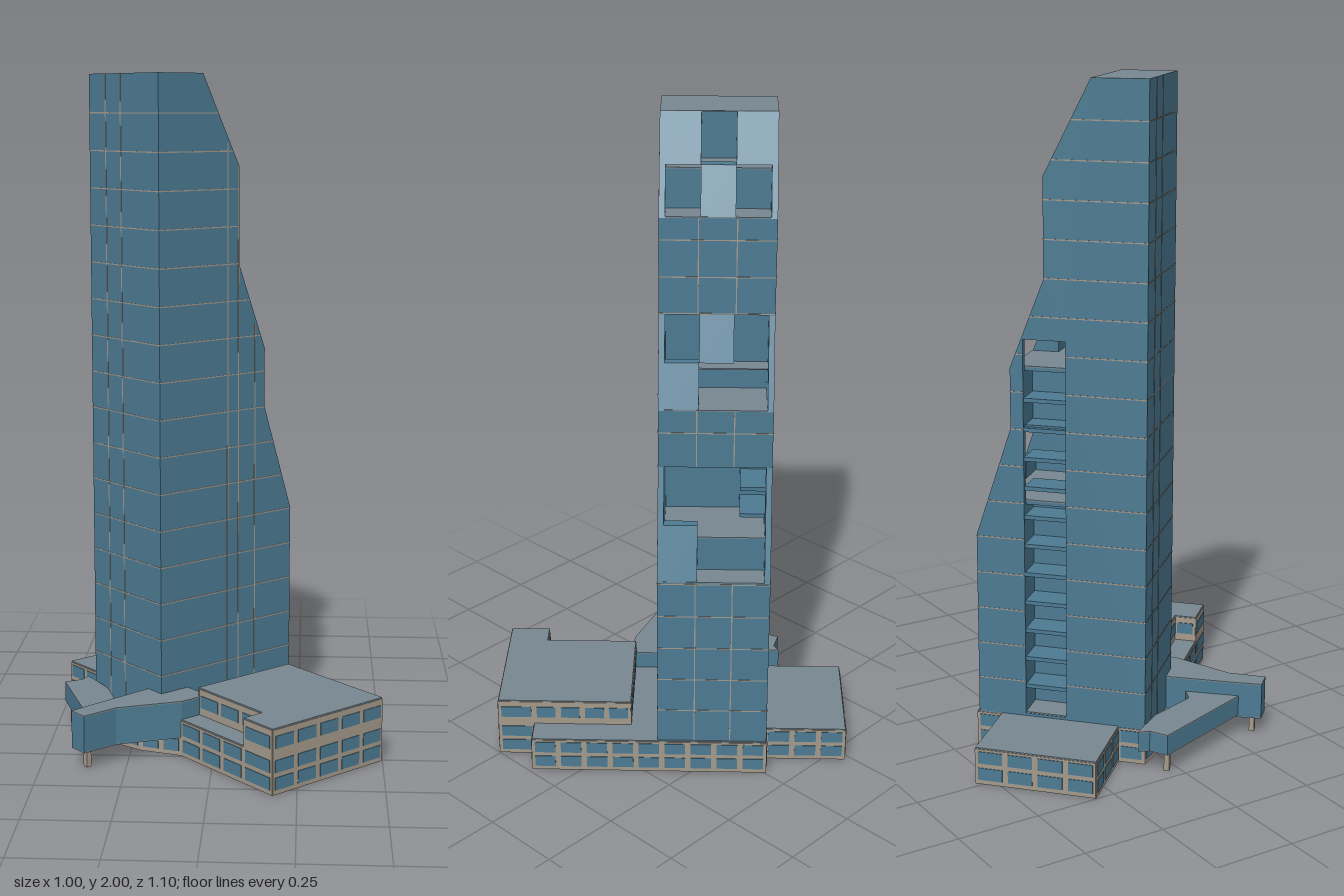
import * as THREE from 'three';

const mat = (name, color) => Object.assign(new THREE.MeshStandardMaterial({ color }), { name });

export function createModel() {
  const glass = mat('blue glass', 0x4c7a92);
  const roof = mat('grey roof', 0x788890);
  const stone = mat('beige frame', 0xa59a8c);
  const model = new THREE.Group();
  model.name = 'towerComplex';
  // Everything is laid out square to the tower, then turned as one
  const site = new THREE.Group();
  site.name = 'site';
  site.rotation.y = -0.828;
  model.add(site);

  const add = (name, geo, material) => {
    const m = new THREE.Mesh(geo, material);
    m.name = name;
    site.add(m);
    return m;
  };
  const box = (name, x0, x1, y0, y1, z0, z1, material) =>
    add(name, new THREE.BoxGeometry(x1 - x0, y1 - y0, z1 - z0)
      .translate((x0 + x1) / 2, (y0 + y1) / 2, (z0 + z1) / 2), material);
  const shapeOf = pts => new THREE.Shape(pts.map(p => new THREE.Vector2(...p)));
  // Plan outline [x, z] raised from y0 to y1
  const slab = (name, pts, y0, y1, material) =>
    add(name, new THREE.ExtrudeGeometry(shapeOf(pts.map(([x, z]) => [x, -z])), { depth: y1 - y0, bevelEnabled: false })
      .rotateX(-Math.PI / 2).translate(0, y0, 0), material);

  // ---- Tower: side profile [distance from front face, height]
  const X0 = -0.313, X1 = 0.023, ZF = 0.238, BASE = 0.06;
  const profile = [[0, BASE], [0.513, BASE], [0.513, 0.67], [0.405, 1.0], [0.405, 1.18],
    [0.303, 1.44], [0.303, 1.73], [0.165, 2.0], [0, 2.0]];
  const core = [[0, BASE], [0.513, BASE], [0.513, 0.67], [0.435, 0.67], [0.435, 0.78], [0.236, 0.78], [0.236, 1.0],
    [0.405, 1.0], [0.405, 1.18], [0.236, 1.18], [0.236, 1.28], [0.275, 1.28], [0.275, 1.44],
    [0.303, 1.44], [0.303, 1.73], [0.225, 1.73], [0.225, 1.85], [0.13, 1.85], [0.13, 2.0], [0, 2.0]];
  const S0 = 0.24, S1 = 0.366;
  // Profile extruded across the tower, with optional slot openings [y0, y1]
  const sideways = (name, pts, x0, x1, material, slots = []) => {
    const shape = shapeOf(pts.map(([s, y]) => [s - ZF, y]));
    slots.forEach(([y0, y1]) => shape.holes.push(new THREE.Path([[S0, y0], [S0, y1], [S1, y1], [S1, y0]]
      .map(([s, y]) => new THREE.Vector2(s - ZF, y)))));
    return add(name, new THREE.ExtrudeGeometry(shape, { depth: x1 - x0, bevelEnabled: false })
      .rotateY(Math.PI / 2).translate(x0, 0, 0), material);
  };
  const IN0 = X0 + 0.018, IN1 = X1 - 0.018, SLOT = -0.22;
  sideways('towerSideWall', profile, IN1, X1, glass);
  sideways('towerSlottedWall', profile, X0, IN0, glass, [[0.12, 1.265]]);
  sideways('towerSlottedCore', core, IN0, SLOT, glass, [[0.12, 0.77], [1.01, 1.17]]);
  sideways('towerCore', core, SLOT, IN1, glass);
  box('towerRoof', X0, X1, 1.998, 2, ZF - 0.165, ZF, roof).scale.y = 1.0005;
  box('towerUnderside', X0, X1, BASE - 0.004, BASE, ZF - 0.513, ZF, roof);

  // Balcony floors in the tall slot
  for (let y = 0.2; y < 1.15; y += 0.088) {
    box('balconyFloor', X0 + 0.004, SLOT, y, y + 0.012, ZF - S1, ZF - S0, glass);
  }
  box('slotTerrace', X0 + 0.002, SLOT, 0.118, 0.124, ZF - S1, ZF - S0, roof);

  // Sloped atria: grey terraces with a few flush glass bays [row, column]
  const slopes = [[[0.513, 0.67], [0.405, 1.0]], [[0.405, 1.18], [0.303, 1.44]], [[0.303, 1.73], [0.165, 2.0]]];
  const bays = [[[0, 2]], [[0, 2], [1, 1]], [[0, 1], [1, 0], [1, 2]]];
  const steps = [[0.435, 0.513, 0.67], [0.24, 0.435, 0.78], [0.24, 0.405, 1.18], [0.275, 0.33, 1.28],
    [0.225, 0.303, 1.73], [0.13, 0.225, 1.85]];
  steps.forEach(([a, b, y]) => box('terrace', IN0, IN1, y, y + 0.004, ZF - b, ZF - a, roof));
  const colW = (IN1 - IN0) / 3;
  slopes.forEach(([p, q], zone) => bays[zone].forEach(([row, col]) => {
    const at = t => [p[0] + (q[0] - p[0]) * t, p[1] + (q[1] - p[1]) * t];
    const a = at(row / 2), b = at((row + 1) / 2), back = b[0] - 0.03;
    sideways('glassBay', [a, b, [back, b[1]], [back, a[1]]], IN0 + col * colW, IN0 + (col + 1) * colW, glass);
  }));

  // Thin facade seams
  const depthAt = y => {
    for (let i = 2; i < 7; i++) {
      const [a, b] = [profile[i], profile[i + 1]];
      if (y >= a[1] && y <= b[1]) return a[0] + (b[0] - a[0]) * (y - a[1]) / (b[1] - a[1]);
    }
    return 0.513;
  };
  const T = 0.0017, E = 0.001;
  for (let i = 2; i < 18; i++) {
    const y = i * 0.111, d = depthAt(y + T);
    box('seam', X1 - E, X1 + E, y - T, y + T, ZF - d, ZF, stone);
    box('seam', X0, X1, y - T, y + T, ZF - E, ZF + E, stone);
    if (y < 1.26) {
      box('seam', X0 - E, X0 + E, y - T, y + T, ZF - S0, ZF, stone);
      box('seam', X0 - E, X0 + E, y - T, y + T, ZF - d, ZF - S1, stone);
    } else box('seam', X0 - E, X0 + E, y - T, y + T, ZF - d, ZF, stone);
    if (y < 0.67 || (y > 1 && y < 1.18) || (y > 1.44 && y < 1.73)) {
      box('seam', X0, X1, y - T, y + T, ZF - d - E, ZF - d + E, stone);
    }
  }
  [[0.258, 1.8], [0.3, 1.73], [0.366, 1.26]].forEach(([s, h]) =>
    box('seam', X1 - E, X1 + E, 0.11, h, ZF - s - T, ZF - s + T, stone));
  [-0.232, -0.158].forEach(x => box('seam', x - T, x + T, BASE, 2, ZF - E, ZF + E, stone));
  [-0.2, -0.09].forEach(x => [[0.513, 0.11, 0.67], [0.405, 1, 1.18], [0.303, 1.44, 1.73]].forEach(([s, a, b]) =>
    box('seam', x - T, x + T, a, b, ZF - s - E, ZF - s + E, stone)));

  // ---- Podium roofs: thin plates over open-bottomed wings
  const plate = (name, x0, x1, h, z0, z1) => box(name, x0, x1, h - 0.005, h, z0, z1, roof);
  plate('rearWingRoof', -0.562, X0, 0.112, -0.203, 0.157);
  plate('plinthRoof', X0, 0.412, 0.112, -0.28, -0.194);
  plate('linkRoof', 0.02, 0.112, 0.112, -0.194, 0.234);
  plate('sideTerraceRoof', 0.109, 0.4, 0.112, 0.164, 0.234);
  plate('frontWingRoof', 0.109, 0.523, 0.195, -0.194, 0.164);
  plate('frontWingEndRoof', 0.4, 0.523, 0.195, 0.164, 0.234);
  box('frontWingCeiling', 0.111, 0.521, 0.106, 0.11, -0.192, 0.232, stone);

  // Thin beige wall from (x0, z0) to (x1, z1) with rows of windows seen from both sides
  const LOW = [0.032, 0.083], HIGH = [0.154], ALL = [...LOW, ...HIGH];
  const wall = (x0, z0, x1, z1, y0, y1, rows) => {
    const len = Math.hypot(x1 - x0, z1 - z0), n = Math.max(1, Math.round(len / 0.084)), w = len / n;
    const place = (m, t, y) => {
      m.position.set(x0 + (x1 - x0) * t, y, z0 + (z1 - z0) * t);
      m.rotation.y = -Math.atan2(z1 - z0, x1 - x0);
    };
    place(add('podiumWall', new THREE.BoxGeometry(len, y1 - y0, 0.004), stone), 0.5, (y0 + y1) / 2);
    rows.forEach(y => {
      for (let i = 0; i < n; i++) {
        place(add('window', new THREE.BoxGeometry(w - 0.017, 0.037, 0.008), glass), (i + 0.5) / n, y);
      }
    });
  };
  const low = (...p) => wall(...p, 0, 0.108, LOW);
  const high = (...p) => wall(...p, 0.108, 0.191, HIGH);
  const full = (...p) => wall(...p, 0, 0.191, ALL);
  low(-0.562, -0.203, -0.562, 0.157);
  low(-0.562, -0.203, X0, -0.203);
  low(-0.562, 0.157, X0, 0.157);
  low(X0, 0.157, X0, 0.238);
  low(X0, -0.28, X0, -0.203);
  low(X0, -0.28, 0.412, -0.28);
  low(0.412, -0.28, 0.412, -0.194);
  low(0.115, 0.234, 0.4, 0.234);
  full(0.412, -0.194, 0.523, -0.194);
  full(0.523, -0.194, 0.523, 0.234);
  full(0.4, 0.234, 0.523, 0.234);
  high(0.109, -0.194, 0.412, -0.194);
  high(0.109, -0.194, 0.109, 0.164);
  high(0.115, 0.164, 0.4, 0.164);
  high(0.4, 0.164, 0.4, 0.234);

  // Low lobby walls under the canopies
  const lobby = [[0.115, 0.234], [0, 0.3], [-0.087, 0.32], [-0.231, 0.254], [X0, 0.237]];
  lobby.slice(1).forEach((p, i) => wall(...lobby[i], ...p, 0, 0.058, [0.032]));
  slab('lobbyDeck', lobby, 0.056, 0.064, roof);

  // ---- Raised entrance canopies on posts
  const canopy = (name, pts, y0, y1) => {
    slab(name, pts, y0, y1 - 0.004, glass);
    slab(name + 'Roof', pts, y1 - 0.004, y1, roof);
    slab(name + 'Underside', pts, y0 - 0.003, y0, roof);
  };
  canopy('entranceBridge', [[-0.025, 0.533], [0.037, 0.533], [0.037, 0.418], [0.115, 0.232], [0.116, 0.137],
    [0.023, 0.137], [0.023, 0.238], [-0.042, 0.238], [-0.031, 0.463]], 0.058, 0.168);
  canopy('sideCanopy', [[-0.365, 0.319], [-0.031, 0.463], [-0.04, 0.3], [-0.087, 0.32], [-0.231, 0.252],
    [-0.312, 0.238], [-0.33, 0.234], [-0.365, 0.232], [-0.35, 0.262]], 0.065, 0.125);
  [[0.006, 0.5], [-0.33, 0.31]].forEach(([x, z]) =>
    box('post', x - 0.008, x + 0.008, 0, 0.064, z - 0.008, z + 0.008, stone));

  return model;
}
